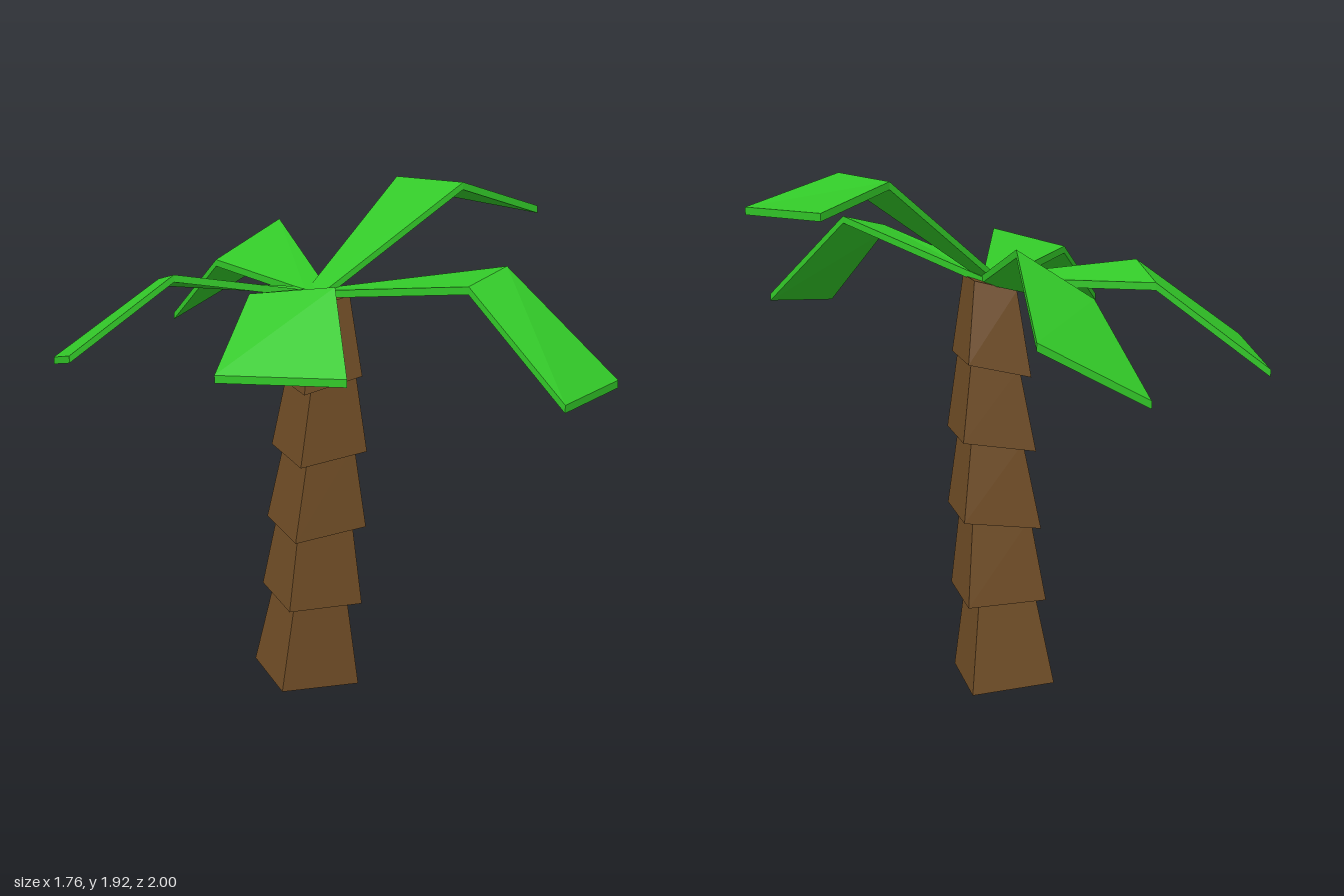
import * as THREE from 'three';

const bark = new THREE.MeshStandardMaterial({ color: 0x704d26, flatShading: true });
bark.name = 'bark brown';
const leaf = new THREE.MeshStandardMaterial({ color: 0x32c828, flatShading: true });
leaf.name = 'leaf green';

// Closed solid through four-cornered rings, each counter-clockwise seen from the far end
function loft(rings) {
  const pos = [];
  const quad = (a, b, c, d) => pos.push(...a, ...b, ...c, ...a, ...c, ...d);
  for (let k = 0; k + 1 < rings.length; k++) {
    const p = rings[k], q = rings[k + 1];
    for (let i = 0; i < 4; i++) {
      const j = (i + 1) % 4;
      quad(p[i], p[j], q[j], q[i]);
    }
  }
  quad(...[...rings[0]].reverse());
  quad(...rings[rings.length - 1]);
  const g = new THREE.BufferGeometry();
  g.setAttribute('position', new THREE.Float32BufferAttribute(pos, 3));
  g.computeVertexNormals();
  return g;
}

// Trunk ring: x range, z range, heights at the -x and +x sides, backward skew of the -x back corner
function trunkRing([x0, x1, z0, z1, y0, y1, skew]) {
  return [[x1, y1, z1], [x1, y1, z0], [x0, y0, z0 - skew], [x0, y0, z1]];
}

const SEGMENTS = [
  [[-0.195, 0.12, -0.23, 0.09, 0.02, 0, 0], [-0.13, 0.08, -0.17, 0.06, 0.38, 0.37, 0]],
  [[-0.165, 0.13, -0.21, 0.095, 0.35, 0.34, 0.005], [-0.115, 0.1, -0.155, 0.06, 0.66, 0.68, 0.015]],
  [[-0.145, 0.138, -0.18, 0.11, 0.63, 0.66, 0.03], [-0.085, 0.1, -0.14, 0.08, 0.95, 0.98, 0.03]],
  [[-0.125, 0.137, -0.165, 0.115, 0.925, 0.96, 0.04], [-0.07, 0.1, -0.14, 0.085, 1.23, 1.27, 0.03]],
  [[-0.108, 0.118, -0.17, 0.11, 1.2, 1.25, 0.025], [-0.065, 0.083, -0.115, 0.07, 1.51, 1.545, 0.035]],
];

// Frond corners: left and right of the fold, then left and right of the tip
const FRONDS = [
  ['backFrond', [-0.185, 1.56, -0.69], [0.06, 1.72, -0.62], [-0.28, 1.285, -1.0], [0.085, 1.48, -0.97]],
  ['raisedFrond', [0.41, 1.915, -0.265], [0.54, 1.925, 0.04], [0.67, 1.835, -0.46], [0.875, 1.815, 0]],
  ['frontLeftFrond', [0.455, 1.715, 0.56], [0.28, 1.67, 0.625], [0.72, 1.37, 0.87], [0.45, 1.345, 0.995]],
  ['frontRightFrond', [-0.125, 1.665, 0.45], [-0.35, 1.615, 0.225], [-0.2, 1.43, 0.745], [-0.54, 1.395, 0.42]],
  ['rightFrond', [-0.5, 1.615, -0.185], [-0.5, 1.56, -0.4], [-0.885, 1.335, -0.24], [-0.885, 1.26, -0.535]],
];

function frondRing(l, r) {
  const lower = ([x, y, z]) => [x, y - 0.027, z];
  return [l, r, lower(r), lower(l)];
}

export function createModel() {
  const palm = new THREE.Group();
  palm.name = 'palmTree';

  // Stacked, tapering trunk blocks
  const trunk = new THREE.Group();
  trunk.name = 'trunk';
  SEGMENTS.forEach((rings, i) => {
    const m = new THREE.Mesh(loft(rings.map(trunkRing)), bark);
    m.name = `trunkSegment${i + 1}`;
    trunk.add(m);
  });

  // Folded fronds growing from a narrow base at the crown
  const crown = new THREE.Group();
  crown.name = 'crown';
  for (const [name, ml, mr, tl, tr] of FRONDS) {
    const dx = ml[0] - mr[0], dz = ml[2] - mr[2];
    const s = 0.042 / Math.hypot(dx, dz);
    const bl = [dx * s, 1.55, -0.05 + dz * s];
    const br = [-dx * s, 1.55, -0.05 - dz * s];
    const m = new THREE.Mesh(loft([frondRing(bl, br), frondRing(ml, mr), frondRing(tl, tr)]), leaf);
    m.name = name;
    crown.add(m);
  }

  palm.add(trunk, crown);
  return palm;
}
